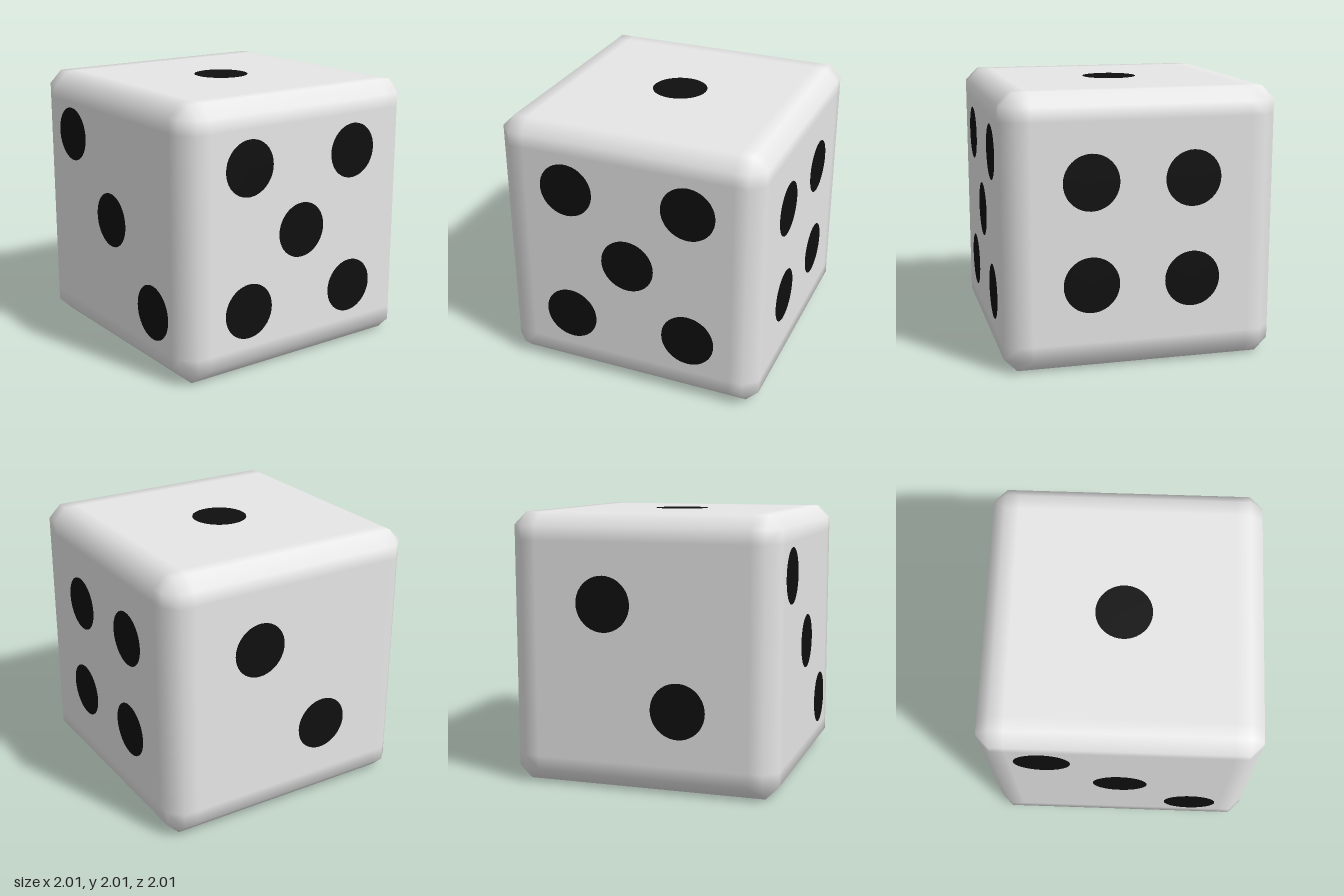
import * as THREE from 'three';

const EDGE = 0.905;  // where the chamfer starts
const FLAT = 0.8;    // where the soft shading starts
const PIP = 0.205;

// Cube with chamfered edges, cut corners and softly blended normals
function bodyGeometry() {
  const pos = [], nor = [];
  const lines = [-EDGE, -FLAT, FLAT, EDGE];
  const soft = v => v - THREE.MathUtils.clamp(v, -FLAT, FLAT);
  const tri = (a, b, c) => {
    const n = b.clone().sub(a).cross(c.clone().sub(a));
    const order = n.dot(a) < 0 ? [a, c, b] : [a, b, c];
    for (const p of order) {
      pos.push(p.x, p.y, p.z);
      nor.push(...new THREE.Vector3(soft(p.x), soft(p.y), soft(p.z)).normalize().toArray());
    }
  };
  const quad = (a, b, c, d) => { tri(a, b, c); tri(a, c, d); };
  // point with given values along axis k and the two axes after it
  const at = (k, u, v, w) => {
    const p = new THREE.Vector3();
    p.setComponent(k, u).setComponent((k + 1) % 3, v).setComponent((k + 2) % 3, w);
    return p;
  };
  const signs = [-1, 1];
  for (let k = 0; k < 3; k++) {
    for (const s of signs) {
      // flat side
      for (let i = 0; i < 3; i++) for (let j = 0; j < 3; j++) {
        const [a, b, c, d] = [lines[i], lines[i + 1], lines[j], lines[j + 1]];
        quad(at(k, s, a, c), at(k, s, b, c), at(k, s, b, d), at(k, s, a, d));
      }
      // chamfers running along axis k
      for (const t of signs) for (let i = 0; i < 3; i++) {
        const [a, b] = [lines[i], lines[i + 1]];
        quad(at(k, a, s, t * EDGE), at(k, b, s, t * EDGE), at(k, b, s * EDGE, t), at(k, a, s * EDGE, t));
      }
    }
  }
  // corner triangles
  for (const x of signs) for (const y of signs) for (const z of signs) {
    tri(at(0, x, y * EDGE, z * EDGE), at(0, x * EDGE, y, z * EDGE), at(0, x * EDGE, y * EDGE, z));
  }
  const g = new THREE.BufferGeometry();
  g.setAttribute('position', new THREE.Float32BufferAttribute(pos, 3));
  g.setAttribute('normal', new THREE.Float32BufferAttribute(nor, 3));
  return g;
}

export function createModel() {
  const white = new THREE.MeshStandardMaterial({ color: 0xe7e7e7 });
  white.name = 'white';
  const black = new THREE.MeshStandardMaterial({ color: 0x0f0f0f });
  black.name = 'black';

  const model = new THREE.Group();
  model.name = 'die';
  const body = new THREE.Mesh(bodyGeometry(), white);
  body.name = 'body';
  body.position.y = 1;
  model.add(body);

  // Pip centres as seen facing each side: [right, up]
  const H = Math.PI / 2;
  const sides = [
    { name: 'frontPips', rot: [0, 0], pips: [[-0.47, 0.525], [0.47, 0.525], [0, 0], [-0.47, -0.525], [0.47, -0.525]] },
    { name: 'leftPips', rot: [0, H], pips: [[-0.375, 0.37], [0.37, 0.37], [-0.375, -0.37], [0.37, -0.37]] },
    { name: 'backPips', rot: [0, Math.PI], pips: [[-0.28, 0.355], [0.28, -0.39]] },
    { name: 'rightPips', rot: [0, -H], pips: [[-0.56, 0.555], [0, 0], [0.56, -0.555]] },
    { name: 'topPips', rot: [-H, 0], pips: [[0, 0]] },
    { name: 'bottomPips', rot: [H, 0], pips: [-0.46, 0.46].flatMap(x => [-0.56, 0, 0.56].map(y => [x, y])) },
  ];
  const disc = new THREE.CircleGeometry(PIP, 40);
  for (const { name, rot, pips } of sides) {
    const side = new THREE.Group();
    side.name = name;
    side.position.y = 1;
    side.rotation.set(rot[0], rot[1], 0);
    for (const [x, y] of pips) {
      const pip = new THREE.Mesh(disc, black);
      pip.name = 'pip';
      pip.position.set(x, y, 1.003);
      side.add(pip);
    }
    model.add(side);
  }
  return model;
}
